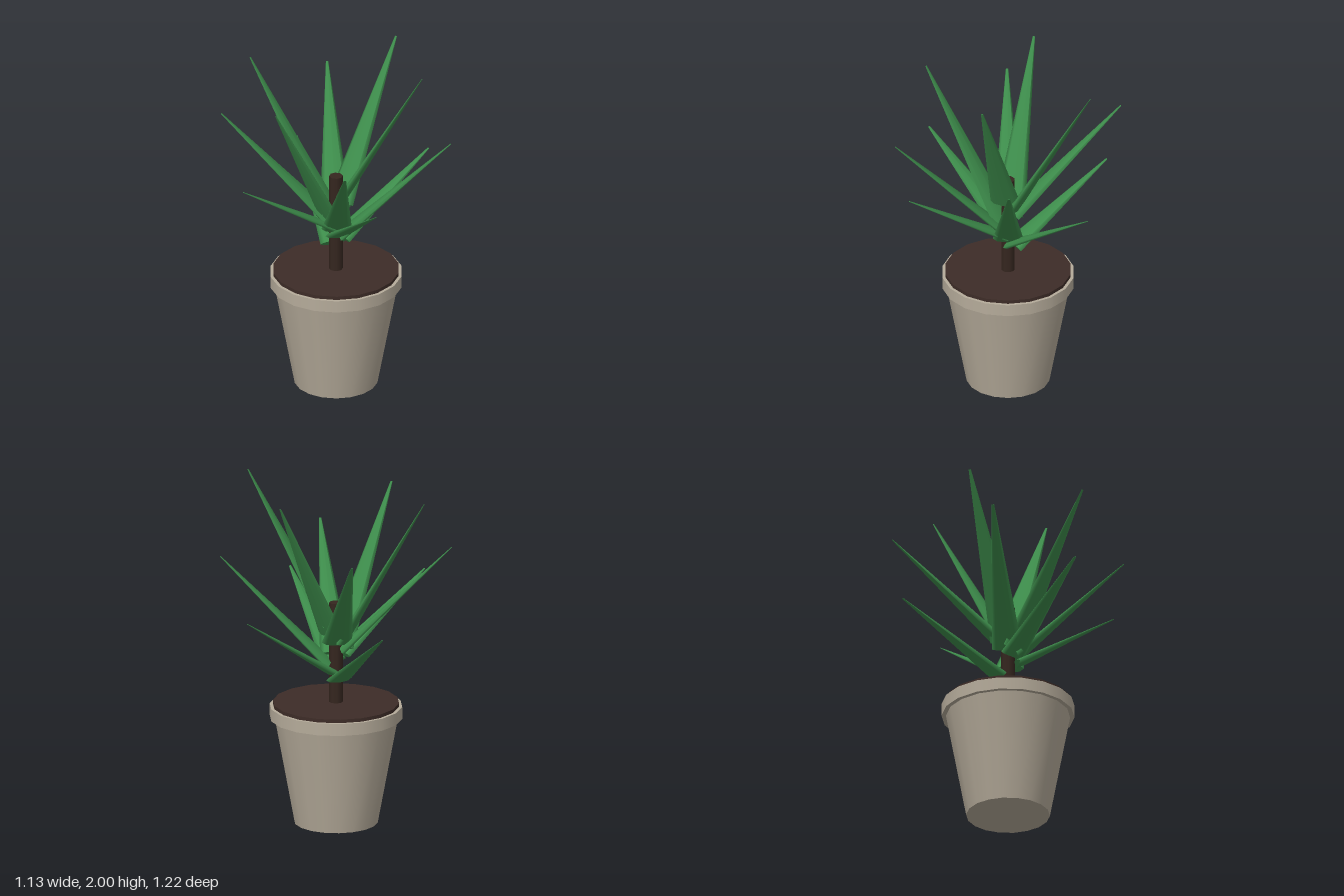
import * as THREE from 'three';

const material = (color) => new THREE.MeshStandardMaterial({ color });
const potMat = material(0xb5ab9a);
const soilMat = material(0x3d2c27);
const stemMat = material(0x35261f);
const leafMat = material(0x3d8c4b);

// Upright cylinder given by its bottom and top heights
function column(name, rTop, rBottom, y0, y1, sides, mat) {
  const mesh = new THREE.Mesh(new THREE.CylinderGeometry(rTop, rBottom, y1 - y0, sides), mat);
  mesh.position.y = (y0 + y1) / 2;
  mesh.name = name;
  return mesh;
}

// Flattened tapering blade running from beside the stem to its tip
function leaf(name, [x, y, z], slope, halfWidth) {
  const inner = 0.04;
  const reach = Math.hypot(x, z);
  const run = reach - inner;
  const length = run * Math.hypot(1, slope);
  const geo = new THREE.CylinderGeometry(0.007, halfWidth, length, 8);
  geo.rotateY(Math.PI / 2);
  geo.translate(0, length / 2, 0);
  geo.scale(1, 1, 0.27);
  const mesh = new THREE.Mesh(geo, leafMat);
  mesh.rotation.order = 'YXZ';
  mesh.rotation.set(Math.atan2(1, slope), Math.atan2(x, z), 0);
  mesh.position.set((x / reach) * inner, y - run * slope, (z / reach) * inner);
  mesh.name = name;
  return mesh;
}

// Three whorls of leaves, from spreading to steep, each with its leaf tips
const whorls = [
  { name: 'lowerLeaf', slope: 0.65, halfWidth: 0.078,
    tips: [[-0.55, 1.23, -0.32], [0.17, 1.27, -0.61], [0.55, 1.32, 0.32], [-0.17, 1.36, 0.61]] },
  { name: 'middleLeaf', slope: 1, halfWidth: 0.086,
    tips: [[0.56, 1.53, -0.33], [0.45, 1.58, 0.47], [-0.56, 1.62, 0.33], [-0.45, 1.67, -0.47]] },
  { name: 'upperLeaf', slope: 1.73, halfWidth: 0.09,
    tips: [[0, 1.86, 0.53], [-0.515, 1.91, 0.13], [0, 1.95, -0.53], [0.515, 2, -0.13]] },
];

export function createModel() {
  const model = new THREE.Group();
  model.name = 'pottedPlant';

  // Pot, rim, soil and stem
  model.add(
    column('pot', 0.35, 0.235, 0, 0.62, 18, potMat),
    column('potRim', 0.373, 0.373, 0.61, 0.68, 18, potMat),
    column('soil', 0.355, 0.355, 0.64, 0.7, 18, soilMat),
    column('stem', 0.039, 0.039, 0.69, 1.28, 8, stemMat),
  );

  // Leaves
  const leaves = new THREE.Group();
  leaves.name = 'leaves';
  for (const { name, slope, halfWidth, tips } of whorls) {
    tips.forEach((tip, i) => leaves.add(leaf(name + (i + 1), tip, slope, halfWidth)));
  }
  model.add(leaves);
  return model;
}
